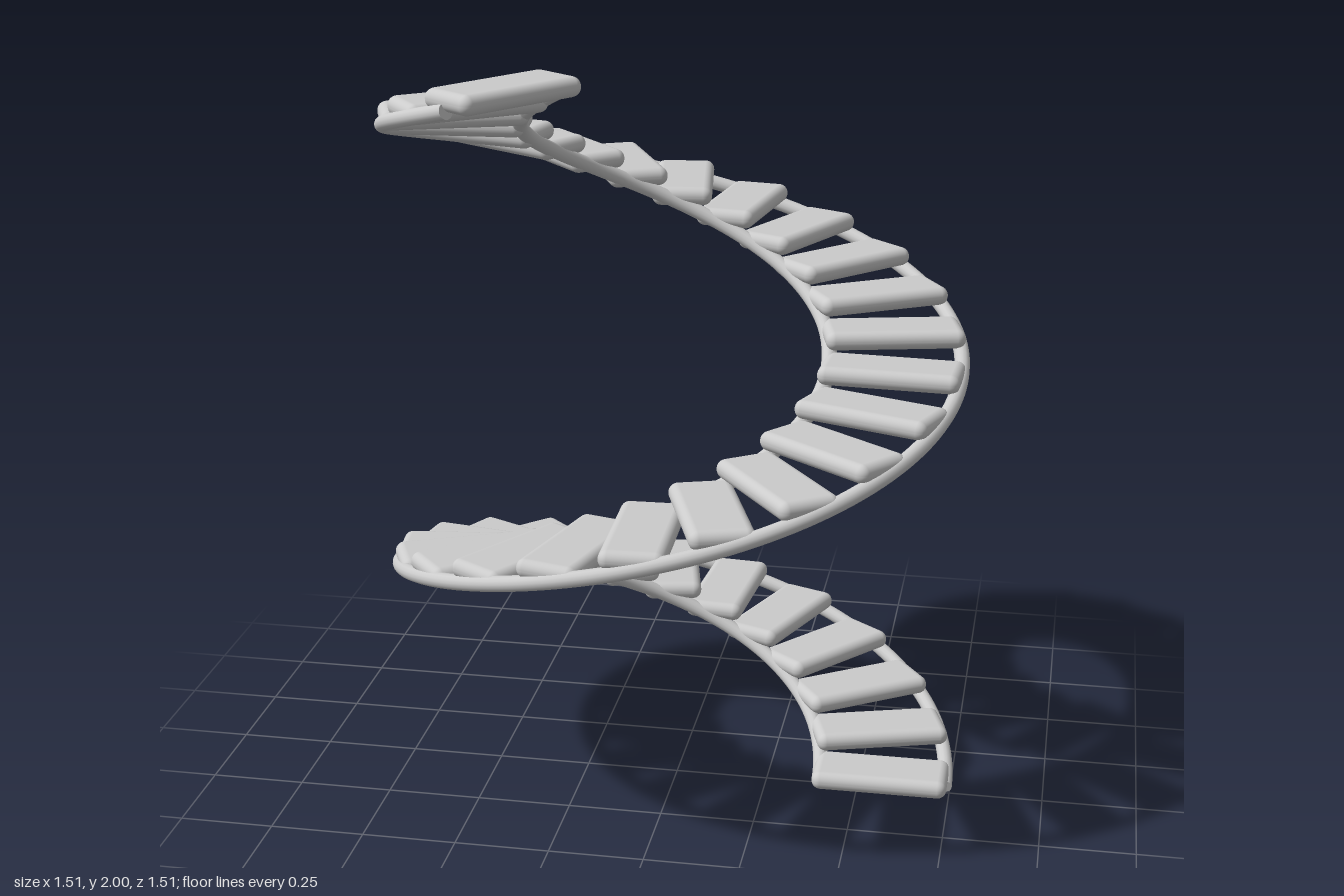
import * as THREE from 'three';
import { RoundedBoxGeometry } from 'three/addons/geometries/RoundedBoxGeometry.js';

const TREADS = 36;
const SWEEP = THREE.MathUtils.degToRad(594); // total turn of the stair
const RISE = 1.935;
const RAIL_RADIUS = 0.02;

// Rising helix that starts on +x and winds towards -z
class Helix extends THREE.Curve {
  constructor(radius, startY) {
    super();
    this.radius = radius;
    this.startY = startY;
  }
  getPoint(t, target = new THREE.Vector3()) {
    const a = t * SWEEP;
    return target.set(this.radius * Math.cos(a), this.startY + t * RISE, -this.radius * Math.sin(a));
  }
}

export function createModel() {
  const group = new THREE.Group();
  group.name = 'spiralStair';
  const material = new THREE.MeshStandardMaterial({ color: 0xcccccc });

  // Round rail with a flat disc closing each end
  function addRail(name, radius) {
    const rail = new THREE.Group();
    rail.name = name;
    const curve = new Helix(radius, 0.02);
    const tube = new THREE.Mesh(new THREE.TubeGeometry(curve, 240, RAIL_RADIUS, 14, false), material);
    tube.name = name + 'Tube';
    rail.add(tube);
    for (const t of [0, 1]) {
      const cap = new THREE.Mesh(new THREE.CircleGeometry(RAIL_RADIUS, 14), material);
      const outward = curve.getTangent(t).multiplyScalar(t ? 1 : -1);
      cap.name = name + (t ? 'TopCap' : 'BottomCap');
      cap.position.copy(curve.getPoint(t));
      cap.quaternion.setFromUnitVectors(new THREE.Vector3(0, 0, 1), outward);
      rail.add(cap);
    }
    group.add(rail);
  }
  addRail('outerRail', 0.737);
  addRail('innerRail', 0.395);

  // Rounded treads bridging the two rails
  const treads = new THREE.Group();
  treads.name = 'treads';
  const treadGeometry = new RoundedBoxGeometry(0.365, 0.05, 0.163, 4, 0.024);
  const centreLine = new Helix(0.563, 0.04);
  for (let i = 0; i < TREADS; i++) {
    const t = i / (TREADS - 1);
    const tread = new THREE.Mesh(treadGeometry, material);
    tread.name = 'tread' + (i + 1);
    tread.position.copy(centreLine.getPoint(t));
    tread.rotation.y = t * SWEEP;
    treads.add(tread);
  }
  group.add(treads);

  return group;
}
